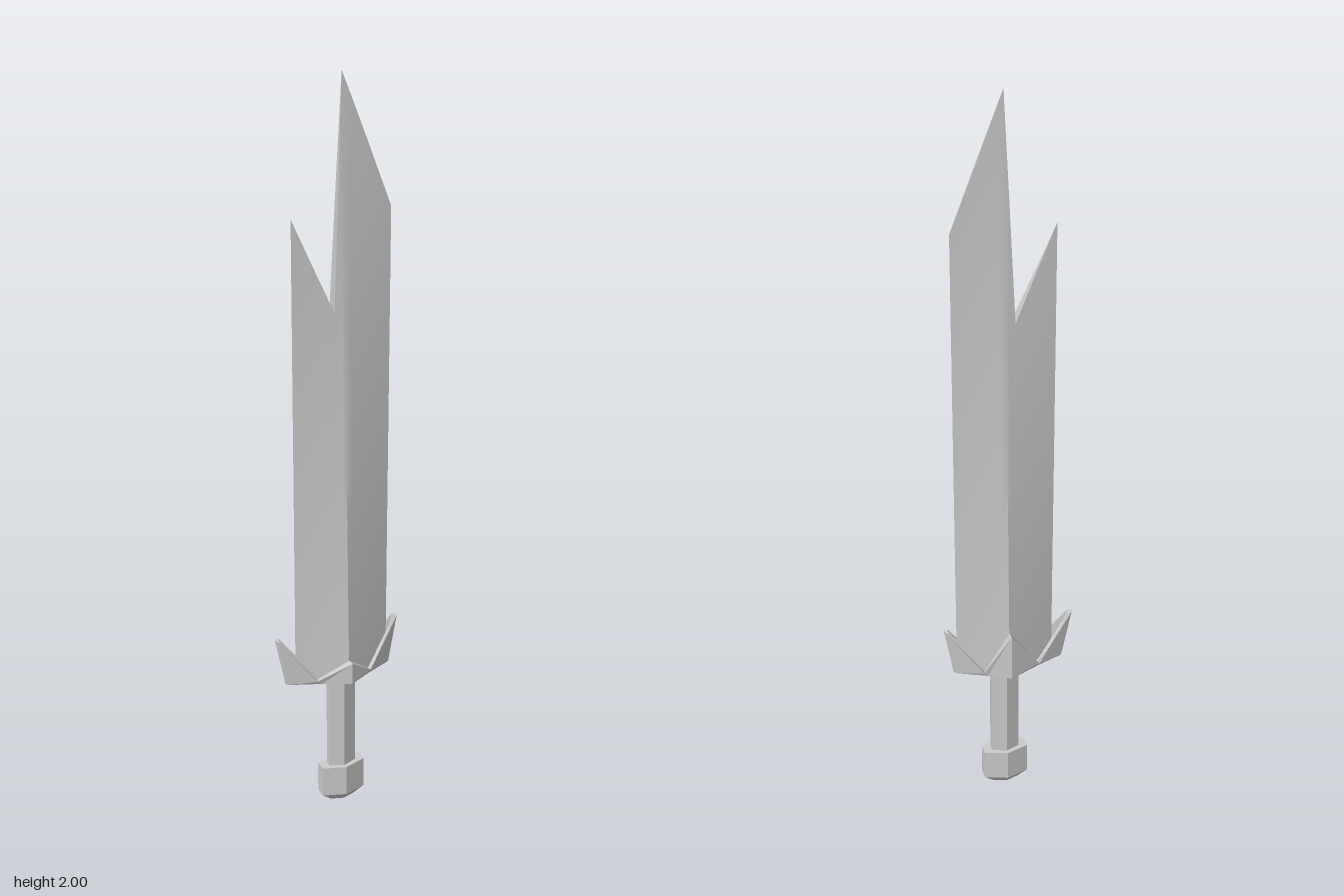
import * as THREE from 'three';
import { toCreasedNormals } from 'three/addons/utils/BufferGeometryUtils.js';

const CX = 0.012; // centre line of blade and grip
const material = new THREE.MeshStandardMaterial({ color: 0xcccccc });

function buildMesh(name, quads, crease) {
  const pos = [];
  for (const [a, b, c, d] of quads) pos.push(...a, ...b, ...c, ...a, ...c, ...d);
  let geo = new THREE.BufferGeometry();
  geo.setAttribute('position', new THREE.Float32BufferAttribute(pos, 3));
  if (crease) geo = toCreasedNormals(geo, crease);
  else geo.computeVertexNormals();
  const mesh = new THREE.Mesh(geo, material);
  mesh.name = name;
  return mesh;
}

// Skin a stack of rings (counter-clockwise from above) and close both ends
function loft(name, rings) {
  const quads = [];
  const n = rings[0].length;
  for (let r = 0; r < rings.length - 1; r++) {
    for (let i = 0; i < n; i++) {
      const j = (i + 1) % n;
      quads.push([rings[r][i], rings[r][j], rings[r + 1][j], rings[r + 1][i]]);
    }
  }
  const cap = (ring, up) => {
    const y = ring.reduce((s, p) => s + p[1], 0) / n;
    const mid = [CX, y, 0];
    for (let i = 0; i < n; i++) {
      const a = ring[i], b = ring[(i + 1) % n];
      quads.push(up ? [mid, a, b, mid] : [mid, b, a, mid]);
    }
  };
  cap(rings[0], false);
  cap(rings[rings.length - 1], true);
  return buildMesh(name, quads);
}

// Stretched hexagon: a ridge front and back, narrow flat ends
function hexRing(y, w, d, end) {
  return [[w, end], [w, -end], [0, -d], [-w, -end], [-w, end], [0, d]]
    .map(([x, z]) => [CX + x, y, z]);
}

// Diamond-section blade with a split tip, thinning to nothing at the top
function createBlade() {
  const base = 0.4, halfWidth = 0.132, rows = 24;
  const outline = [[-0.12, 1.66], [-0.013, 1.415], [0.012, 2], [0.144, 1.66]];
  const steps = [6, 3, 8];
  const columns = [outline[0]];
  steps.forEach((n, s) => {
    const [a, b] = [outline[s], outline[s + 1]];
    for (let k = 1; k <= n; k++) {
      columns.push([a[0] + (b[0] - a[0]) * k / n, a[1] + (b[1] - a[1]) * k / n]);
    }
  });
  const point = ([x, top], row, side) => {
    const y = base + (top - base) * row / rows;
    const z = 0.052 * (1 - Math.abs(x - CX) / halfWidth) * (2 - y) / (2 - base);
    return [x, y, side * Math.max(z, 0)];
  };
  const quads = [];
  for (let i = 0; i < columns.length - 1; i++) {
    const a = columns[i], b = columns[i + 1];
    for (let r = 0; r < rows; r++) {
      quads.push([point(a, r, 1), point(b, r, 1), point(b, r + 1, 1), point(a, r + 1, 1)]);
      quads.push([point(b, r, -1), point(a, r, -1), point(a, r + 1, -1), point(b, r + 1, -1)]);
    }
    quads.push([point(a, rows, 1), point(b, rows, 1), point(b, rows, -1), point(a, rows, -1)]);
    quads.push([point(a, 0, -1), point(b, 0, -1), point(b, 0, 1), point(a, 0, 1)]);
  }
  return buildMesh('blade', quads, Math.PI / 6);
}

// Crown-like guard: a diamond cup with pointed ends and peaks
function createGuard() {
  const rim = [ // x, top height, z
    [0.178, 0.535, 0], [0.172, 0.53, -0.008], [0.08, 0.405, -0.043], [CX, 0.53, -0.072],
    [-0.075, 0.405, -0.04], [-0.172, 0.53, -0.008], [-0.178, 0.535, 0], [-0.172, 0.53, 0.008],
    [-0.075, 0.405, 0.04], [CX, 0.455, 0.073], [0.08, 0.405, 0.043], [0.172, 0.53, 0.008],
  ];
  const shrink = (kx, kz, y) =>
    rim.map(p => [CX + (p[0] - CX) * kx, y ?? p[1], p[2] * kz]);
  return loft('guard', [
    shrink(0.85, 1, 0.395),
    rim,
    shrink(0.95, 0.73),
    shrink(0.8, 0.73, 0.402),
  ]);
}

export function createModel() {
  const model = new THREE.Group();
  model.name = 'sword';
  model.add(createBlade());
  model.add(createGuard());
  model.add(loft('grip', [
    hexRing(0.1, 0.038, 0.024, 0.009),
    hexRing(0.4, 0.038, 0.024, 0.009),
  ]));
  // Pommel with a bevelled underside
  model.add(loft('pommel', [
    hexRing(0, 0.034, 0.02, 0.009),
    hexRing(0.022, 0.061, 0.036, 0.016),
    hexRing(0.11, 0.061, 0.036, 0.016),
  ]));
  return model;
}
